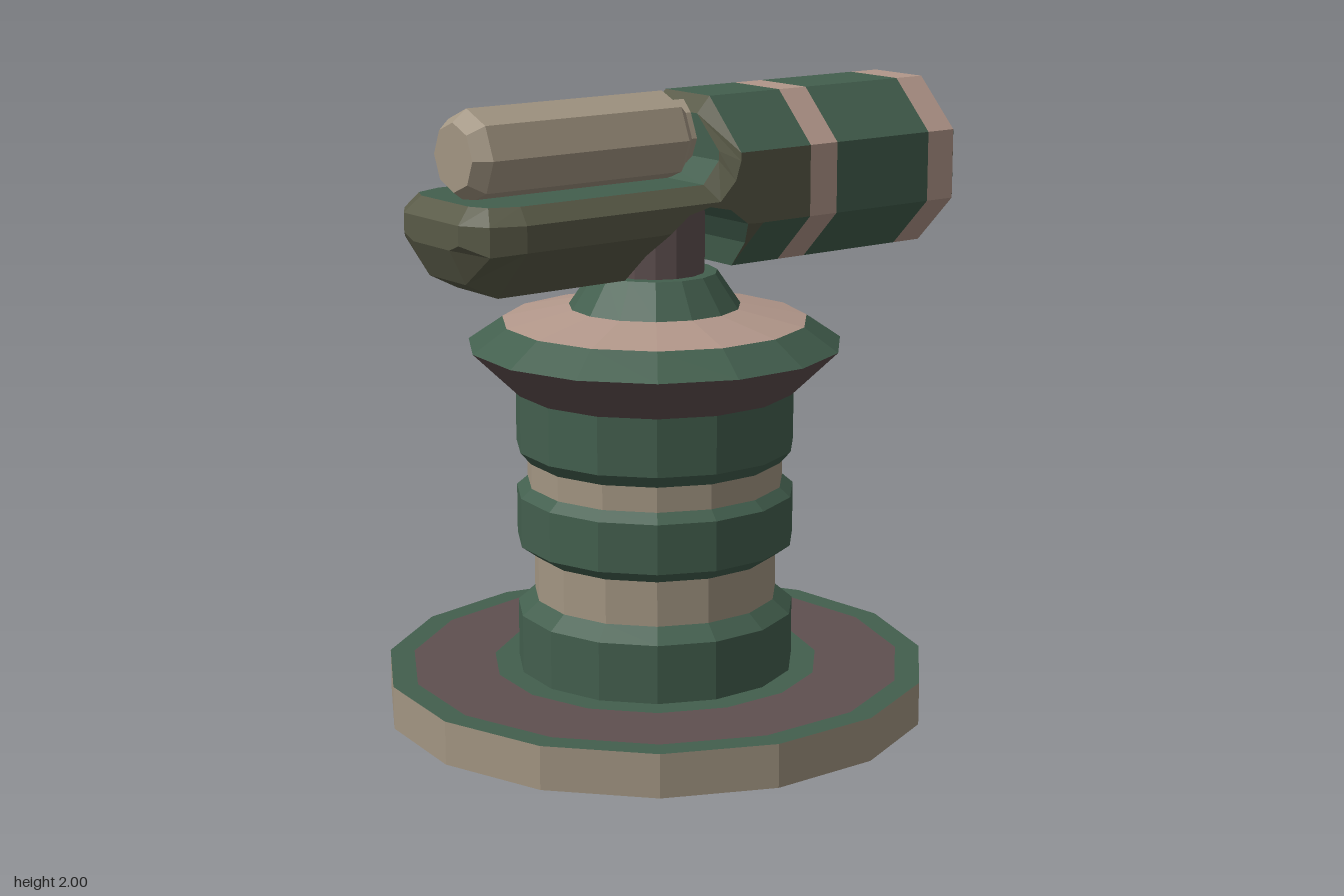
import * as THREE from 'three';

const GREEN = 0x435f4e, OLIVE = 0x595a47, PINK = 0xb2978a, BROWN = 0x5f5050, TAN = 0xa29582, BLACK = 0x0a0a0a;
const COLOR_NAMES = { [GREEN]: 'Green', [OLIVE]: 'Olive', [PINK]: 'Pink', [BLACK]: 'Dark' };
const material = color => new THREE.MeshStandardMaterial({ color, flatShading: true });

// Faceted turned part; profile runs from bottom to top
function turned(name, color, profile, sides = 15) {
  const points = profile.map(([r, y]) => new THREE.Vector2(r, y));
  const mesh = new THREE.Mesh(new THREE.LatheGeometry(points, sides, Math.PI), material(color));
  mesh.name = name;
  return mesh;
}

const CY = 1.712, A = 0.274, T = Math.tan(Math.PI / 8);
const SIDE_LOW = CY - A * T, BOTTOM = CY - A;

// Cross-section: four points [x, y, halfWidth] going up the +z side, plus the
// colours (bottom, lower chamfer, side, upper chamfer, top) of the span after it
const all = c => [c, c, c, c, c];
const octagon = (x, a, colors) => ({
  half: [[x, CY - a, a * T], [x, CY - a * T, a], [x, CY + a * T, a], [x, CY + a, a * T]], colors,
});
// Section with a raised underside and its own rim (D) and deck (E) points
const cut = (x, y0, D, E, colors) => ({
  half: [[x, y0, Math.min(A, A * T + y0 - BOTTOM)], [x, Math.max(y0, SIDE_LOW), A], D, E], colors,
});

function bodySections() {
  const tray = [OLIVE, OLIVE, OLIVE, OLIVE, GREEN];
  const arch = [GREEN, OLIVE, OLIVE, OLIVE, GREEN];
  const rows = [
    // rounded tail of the tray
    { half: [[-0.94, 1.6, 0.1], [-0.94, 1.62, 0.15], [-0.94, 1.68, 0.15], [-0.89, 1.73, 0.13]], colors: tray },
    { half: [[-0.885, 1.49, 0.1], [-0.885, 1.59, 0.235], [-0.885, 1.68, 0.235], [-0.86, 1.73, 0.19]], colors: tray },
    cut(-0.78, BOTTOM, [-0.78, 1.68, A], [-0.77, 1.73, 0.225], tray),
  ];
  // rim and deck points while the arch passes from the tray to the barrel
  const step = {
    5: [[-0.06, 1.68, A], [-0.09, 1.73, 0.225]],
    6: [[0, 1.74, A], [-0.03, 1.8, 0.225]],
    7: [[0.02, 1.8, A], [-0.03, 1.83, 0.225]],
    8: [[0.02, CY + A * T, A], [-0.03, 1.935, 0.115]],
  };
  for (let k = 0; k <= 8; k++) {
    const t = Math.PI * k / 8;
    const x = -0.1 - 0.21 * Math.cos(t), y = BOTTOM + 0.23 * Math.sin(t);
    const [D, E] = step[k] || [[x, 1.68, A], [x, 1.73, 0.225]];
    rows.push(cut(x, y, D, E, k === 8 ? all(OLIVE) : arch));
  }
  rows.push(
    cut(0.11, BOTTOM, [0.02, CY + A * T, A], [0.02, CY + A, A * T], [GREEN, GREEN, OLIVE, GREEN, GREEN]),
    octagon(0.3, A, all(PINK)),
    octagon(0.41, A, all(GREEN)),
    octagon(0.8, A, all(PINK)),
    octagon(0.91, A, all(OLIVE)),
    octagon(0.98, 0.2, all(BLACK)),
    octagon(0.45, 0.17, all(BLACK)),
  );
  return rows;
}

// Lofts the sections into one mesh per colour
function loft(rows) {
  const buckets = {};
  const quad = (color, a, b, c, d) => (buckets[color] ||= []).push(...a, ...b, ...c, ...a, ...c, ...d);
  const rings = rows.map(({ half }) => [
    ...half.map(([x, y, w]) => [x, y, w]),
    ...half.slice().reverse().map(([x, y, w]) => [x, y, -w]),
  ]);
  const strip = [1, 2, 3, 4, 3, 2, 1, 0];
  for (let i = 0; i < rings.length - 1; i++) {
    for (let j = 0; j < 8; j++) {
      const n = (j + 1) % 8;
      quad(rows[i].colors[strip[j]], rings[i][j], rings[i + 1][j], rings[i + 1][n], rings[i][n]);
    }
  }
  // tail cap and floor of the bore
  const tail = rings[0], bore = rings[rings.length - 1];
  for (let j = 0; j < 3; j++) {
    quad(OLIVE, tail[j], tail[j + 1], tail[6 - j], tail[7 - j]);
    quad(BLACK, bore[j], bore[7 - j], bore[6 - j], bore[j + 1]);
  }
  const group = new THREE.Group();
  for (const [color, positions] of Object.entries(buckets)) {
    const geometry = new THREE.BufferGeometry();
    geometry.setAttribute('position', new THREE.Float32BufferAttribute(positions, 3));
    geometry.computeVertexNormals();
    const mesh = new THREE.Mesh(geometry, material(Number(color)));
    mesh.name = 'barrel' + COLOR_NAMES[color] + 'Panels';
    group.add(mesh);
  }
  return group;
}

export function createModel() {
  const model = new THREE.Group();
  model.name = 'turret';

  // Pedestal, from the ground up
  const pedestal = new THREE.Group();
  pedestal.name = 'pedestal';
  pedestal.position.x = -0.11;
  pedestal.add(
    turned('baseUnderside', GREEN, [[0, 0], [0.88, 0]]),
    turned('baseEdge', TAN, [[0.88, 0], [0.88, 0.14]]),
    turned('baseRim', GREEN, [[0.88, 0.14], [0.8, 0.14]]),
    turned('baseFloor', BROWN, [[0.8, 0.14], [0.53, 0.14]]),
    turned('lowerDrum', GREEN, [[0.53, 0.14], [0.45, 0.14], [0.45, 0.33], [0.395, 0.375]]),
    turned('lowerGroove', TAN, [[0.395, 0.375], [0.395, 0.52]]),
    turned('middleDrum', GREEN, [[0.395, 0.52], [0.45, 0.56], [0.45, 0.72], [0.415, 0.75]]),
    turned('upperGroove', TAN, [[0.415, 0.75], [0.415, 0.83]]),
    turned('upperDrum', GREEN, [[0.415, 0.83], [0.45, 0.87], [0.45, 1.055]]),
    turned('collarUnderside', BROWN, [[0.45, 1.055], [0.6, 1.2]]),
    turned('collarEdge', GREEN, [[0.6, 1.2], [0.49, 1.275]]),
    turned('collarTop', PINK, [[0.49, 1.275], [0.275, 1.32]]),
    turned('neckCone', GREEN, [[0.275, 1.32], [0.2, 1.43], [0, 1.43]]),
    turned('swivelPost', BROWN, [[0.16, 1.43], [0.16, 1.69], [0, 1.69]]),
  );
  model.add(pedestal);

  // Octagonal barrel with its tray and the arch over the post
  const barrel = loft(bodySections());
  barrel.name = 'barrel';
  model.add(barrel);

  // Canister lying on the tray, with its short nozzle into the barrel
  const canister = turned('canister', TAN,
    [[0, -0.86], [0.105, -0.86], [0.143, -0.81], [0.143, -0.085], [0.11, -0.05], [0.11, 0.05]], 8);
  canister.rotation.z = -Math.PI / 2;
  canister.position.set(0, 1.857, 0.005);
  model.add(canister);

  return model;
}
